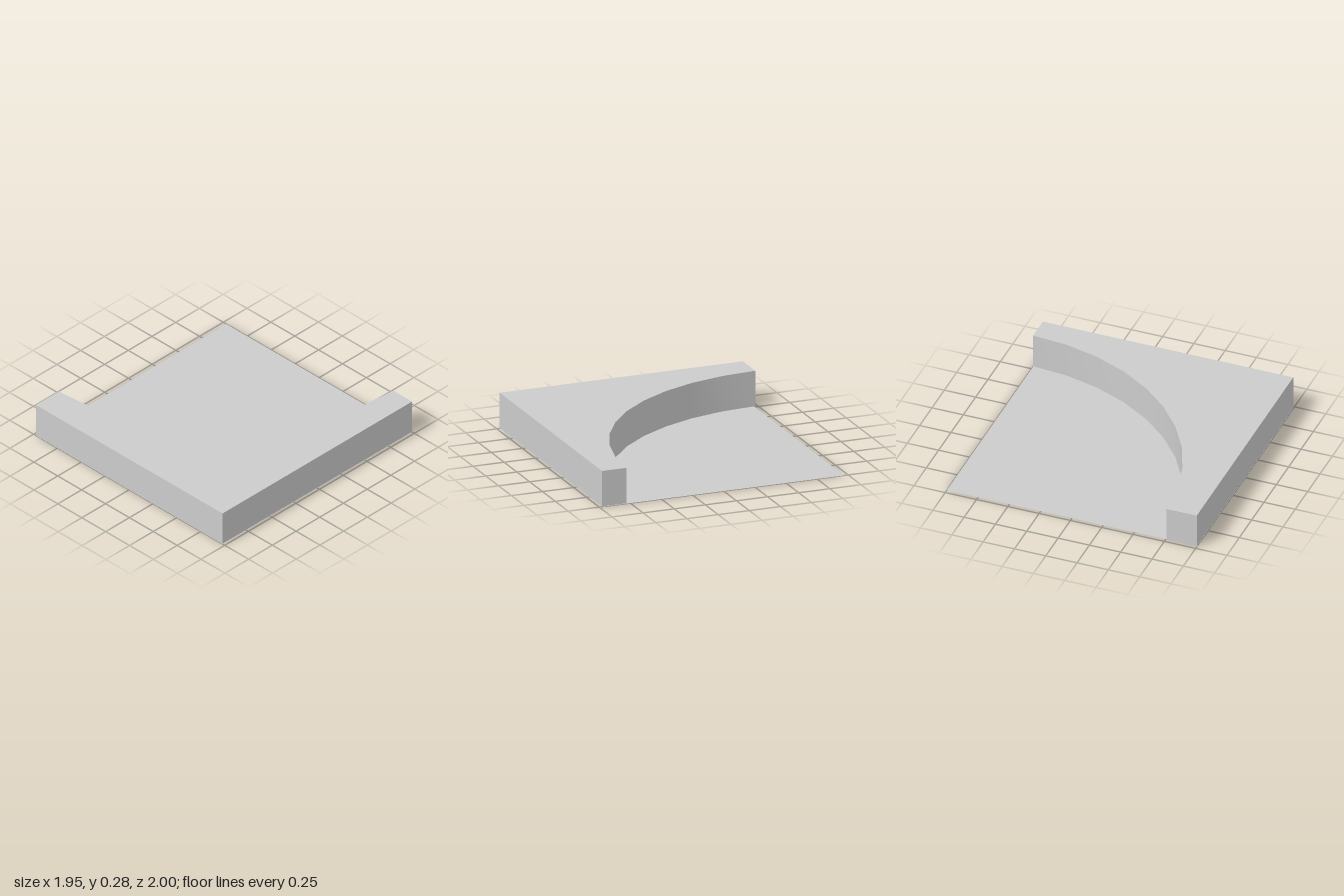
import * as THREE from 'three';
import { toCreasedNormals } from 'three/addons/utils/BufferGeometryUtils.js';

export function createModel() {
  const group = new THREE.Group();
  const left = -0.977, right = 0.977, back = -1, front = 1;
  const height = 0.28, radius = 1.757, gap = 0.003;

  // Raised corner with a concave quarter-circle cut, drawn in plan (x, z)
  const plan = new THREE.Shape();
  plan.moveTo(right, back);
  plan.lineTo(right, front);
  plan.lineTo(left, front);
  plan.lineTo(left, front - (2 - radius));
  plan.absarc(left, back, radius, Math.PI / 2, 0, true);
  plan.closePath();

  // An arc gets twice curveSegments, so 5 gives ten facets
  const solid = new THREE.ExtrudeGeometry(plan, { depth: height - gap, bevelEnabled: false, curveSegments: 5 });
  solid.rotateX(Math.PI / 2).translate(0, height, 0);
  const corner = new THREE.Mesh(
    toCreasedNormals(solid, Math.PI / 6),
    new THREE.MeshStandardMaterial({ color: 0xcccccc })
  );
  corner.name = 'curvedCorner';
  group.add(corner);

  // Thin floor sheet under the whole tile
  const sheet = new THREE.PlaneGeometry(right - left - 0.008, front - back).rotateX(-Math.PI / 2);
  const floor = new THREE.Mesh(
    sheet.translate(0.004, 0, 0),
    new THREE.MeshStandardMaterial({ color: 0xcccccc, side: THREE.DoubleSide })
  );
  floor.name = 'floor';
  group.add(floor);

  return group;
}
